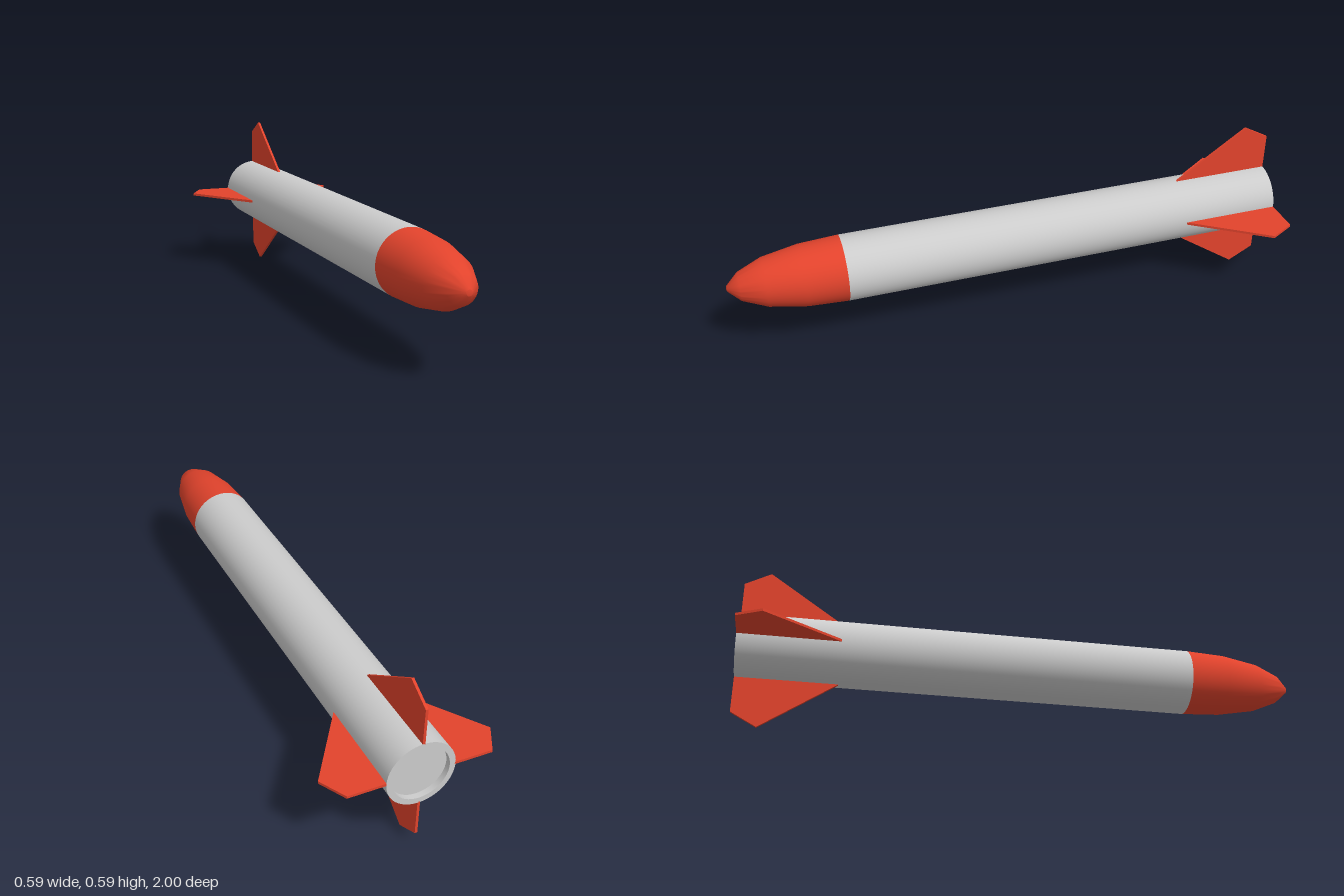
import * as THREE from 'three';
import { toCreasedNormals } from 'three/addons/utils/BufferGeometryUtils.js';

export function createModel() {
  const model = new THREE.Group();
  model.name = 'rocket';
  const grey = new THREE.MeshStandardMaterial({ color: 0xcccccc });
  const red = new THREE.MeshStandardMaterial({ color: 0xe2432c });

  // Built along +y, then laid down so the nose points to +z
  const rocket = new THREE.Group();
  rocket.name = 'rocketAssembly';
  rocket.rotation.x = Math.PI / 2;
  rocket.position.y = 0.293;
  model.add(rocket);

  const add = (name, geometry, material) => {
    const mesh = new THREE.Mesh(geometry, material);
    mesh.name = name;
    rocket.add(mesh);
    return mesh;
  };
  const turned = (profile) => toCreasedNormals(
    new THREE.LatheGeometry(profile.map(([r, y]) => new THREE.Vector2(r, y)), 48), 0.7);

  // Body tube with a shallow recess in its tail
  add('body', turned([[0, -0.98], [0.096, -0.98], [0.096, -1], [0.116, -1], [0.116, 0.6]]), grey);

  // Rounded nose cone with a small blunt tip
  add('noseCone', turned([
    [0.116, 0.6], [0.109, 0.74], [0.086, 0.87], [0.05, 0.955], [0.01, 0.997], [0, 1],
  ]), red);

  // Four swept fins
  const thickness = 0.009;
  const outline = new THREE.Shape([
    [0.113, -1], [0.244, -1], [0.293, -0.91], [0.113, -0.645],
  ].map(([r, y]) => new THREE.Vector2(r, y)));
  const finGeometry = new THREE.ExtrudeGeometry(outline, { depth: thickness, bevelEnabled: false });
  finGeometry.translate(0, 0, -thickness / 2);
  ['leftFin', 'topFin', 'rightFin', 'bottomFin'].forEach((name, i) => {
    add(name, finGeometry, red).rotation.y = i * Math.PI / 2;
  });

  return model;
}
